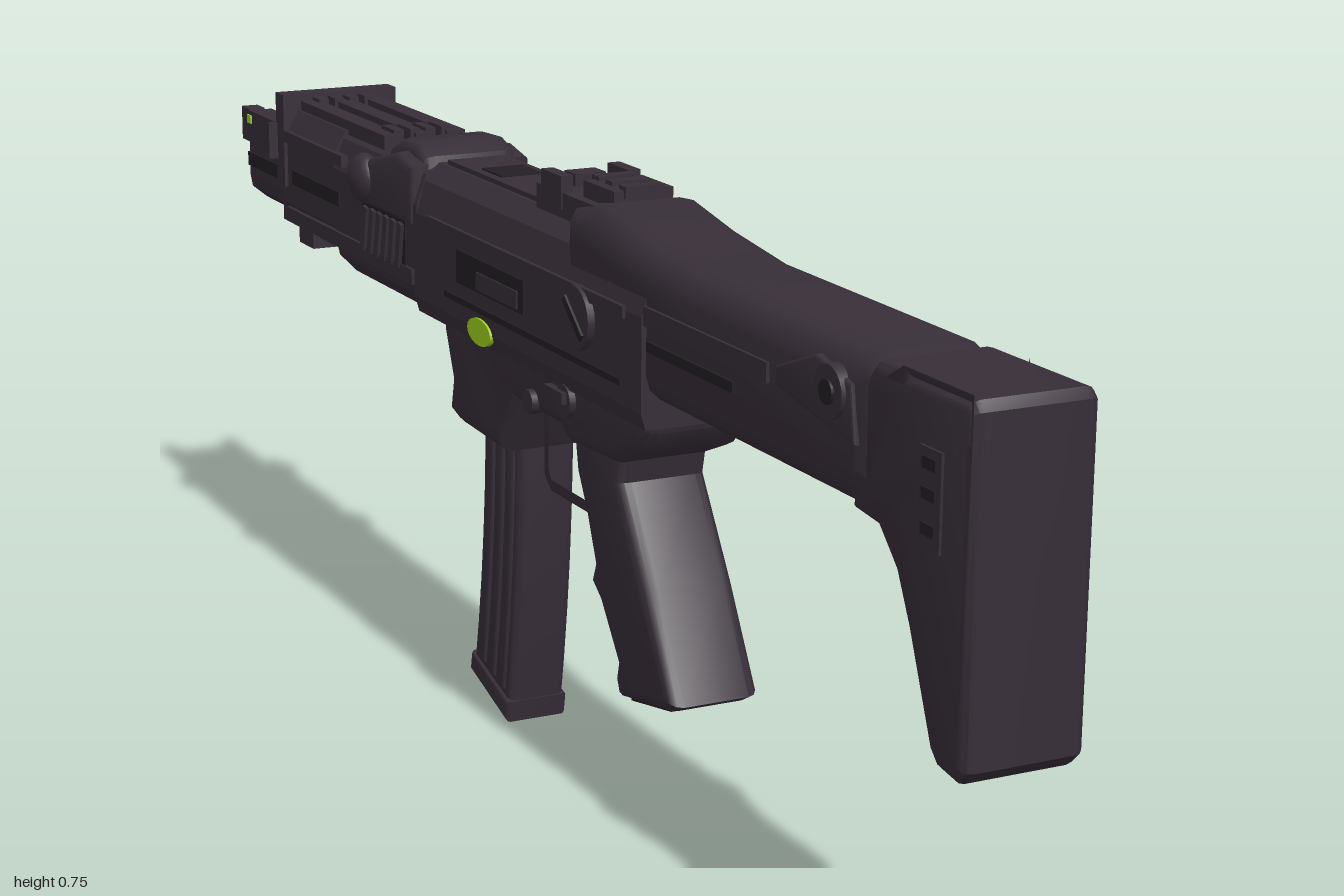
import * as THREE from 'three';
import { toCreasedNormals } from 'three/addons/utils/BufferGeometryUtils.js';

export function createModel() {
  const model = new THREE.Group();
  const mat = (name, color) => Object.assign(new THREE.MeshStandardMaterial({ color }), { name });
  const body = mat('charcoal plum', 0x372e38);
  const dark = mat('recess black', 0x241e25);
  const lime = mat('lime', 0x9ccc1e);

  const add = (name, geometry, material = body) => {
    const mesh = new THREE.Mesh(geometry, material);
    mesh.name = name;
    model.add(mesh);
    return mesh;
  };
  // Side profile in [z, y], extruded across x to a total width.
  const slab = (name, pts, width, bevel = 0.01, material = body, holes = []) => {
    const shape = new THREE.Shape(pts.map(p => new THREE.Vector2(...p)));
    for (const h of holes) shape.holes.push(new THREE.Path(h.map(p => new THREE.Vector2(...p))));
    const depth = width - 2 * bevel;
    const g = new THREE.ExtrudeGeometry(shape, {
      depth, bevelEnabled: bevel > 0, bevelThickness: bevel, bevelSize: bevel, bevelOffset: -bevel, bevelSegments: 3,
    });
    g.translate(0, 0, -depth / 2).rotateY(-Math.PI / 2);
    return add(name, toCreasedNormals(g, 0.6), material);
  };
  // Half cross-section in [x, y], mirrored and run from z0 to z1.
  const bar = (name, half, z0, z1, material = body) => {
    const all = [...half, ...half.slice().reverse().map(([x, y]) => [-x, y])];
    const g = new THREE.ExtrudeGeometry(new THREE.Shape(all.map(p => new THREE.Vector2(...p))),
      { depth: z1 - z0, bevelEnabled: false });
    return add(name, g.translate(0, 0, z0), material);
  };
  const box = (name, w, h, d, x, y, z, material = body) => {
    const m = add(name, new THREE.BoxGeometry(w, h, d), material);
    m.position.set(x, y, z);
    return m;
  };
  const disc = (name, r, t, x, y, z, material = body) => {
    const m = add(name, new THREE.CylinderGeometry(r, r, t, 20).rotateZ(Math.PI / 2), material);
    m.position.set(x, y, z);
    return m;
  };

  // Stock: butt with a strap slot, then the cheek rest
  slab('butt', [[1, 0.68], [0.99, 0.69], [0.82, 0.69], [0.79, 0.66], [0.78, 0.53], [0.83, 0.525], [0.865, 0.49],
    [0.89, 0.44], [0.935, 0.33], [0.95, 0.315], [0.985, 0.31], [1, 0.325]], 0.14, 0.012, body,
  [[[0.985, 0.658], [0.885, 0.658], [0.885, 0.685], [0.985, 0.685]]]);
  slab('cheekRest', [[0.83, 0.685], [0.8, 0.695], [0.42, 0.698], [0.3, 0.712], [0.2, 0.73], [0.12, 0.715],
    [0.1, 0.53], [0.8, 0.53], [0.83, 0.56]], 0.148, 0.035);

  // Receiver with chamfered upper corners
  bar('upperReceiver', [[0.074, 0.5], [0.08, 0.52], [0.08, 0.63], [0.068, 0.672], [0.045, 0.692]], -0.31, 0.34);
  slab('lowerReceiver', [[0.335, 0.56], [0.325, 0.49], [0.3, 0.46], [0.24, 0.435], [0.12, 0.43], [0.1, 0.445],
    [-0.03, 0.445], [-0.06, 0.39], [-0.07, 0.37], [-0.2, 0.375], [-0.235, 0.385], [-0.225, 0.43], [-0.25, 0.49],
    [-0.25, 0.56]], 0.138, 0.018);

  // Grip, closed by a dark base
  slab('grip', [[0.25, 0.46], [0.24, 0.41], [0.31, 0.3], [0.378, 0.18], [0.36, 0.17], [0.235, 0.147], [0.225, 0.17],
    [0.23, 0.19], [0.185, 0.25], [0.158, 0.27], [0.168, 0.295], [0.145, 0.35], [0.12, 0.395], [0.11, 0.45]], 0.115, 0.016);
  slab('gripBase', [[0.352, 0.174], [0.25, 0.155], [0.25, 0.147], [0.352, 0.167]], 0.09, 0, dark);

  // Trigger guard and trigger
  slab('triggerGuard', [[0.125, 0.45], [0.118, 0.34], [0.105, 0.328], [-0.02, 0.328], [-0.04, 0.345], [-0.04, 0.45]],
    0.046, 0.003, body, [[[0.108, 0.45], [0.105, 0.35], [0.097, 0.34], [-0.018, 0.34], [-0.028, 0.352], [-0.028, 0.45]]]);
  slab('trigger', [[0.085, 0.45], [0.075, 0.4], [0.085, 0.36], [0.07, 0.36], [0.053, 0.4], [0.05, 0.45]], 0.022, 0.003);

  // Curved magazine with raised ribs on each side
  const sweep = (t, u) => {
    const y = 0.42 - 0.4 * t, lean = -0.005 - 0.04 * t * t;
    return [-0.07 + lean - u * 0.115, y + (u - 0.5) * 0.035 * t];
  };
  const strip = (u0, u1, t0, t1) => {
    const pts = [];
    for (let i = 0; i <= 6; i++) pts.push(sweep(t0 + (t1 - t0) * i / 6, u0));
    for (let i = 6; i >= 0; i--) pts.push(sweep(t0 + (t1 - t0) * i / 6, u1));
    return pts;
  };
  slab('magazine', strip(0, 1, 0, 1.0), 0.076, 0.01);
  for (const u of [0.14, 0.4, 0.66]) slab('magazineRib', strip(u, u + 0.16, 0.1, 0.93), 0.084, 0.003);
  slab('magazineBase', strip(-0.01, 1.01, 0.95, 1.02), 0.084, 0.006);

  // Handguard: shell, top hump, clamps and long rail strips
  bar('handguard', [[0.05, 0.495], [0.074, 0.52], [0.08, 0.55], [0.08, 0.64], [0.066, 0.68], [0.04, 0.692]], -0.59, -0.3);
  bar('handguardFront', [[0.045, 0.52], [0.072, 0.535], [0.08, 0.56], [0.08, 0.66], [0.062, 0.69]], -0.79, -0.59);
  slab('topHump', [[-0.3, 0.66], [-0.31, 0.7], [-0.34, 0.714], [-0.39, 0.712], [-0.43, 0.695], [-0.45, 0.66]], 0.13, 0.015);
  slab('sideShoulder', [[-0.31, 0.69], [-0.36, 0.7], [-0.44, 0.68], [-0.52, 0.66], [-0.52, 0.61], [-0.31, 0.61]], 0.168, 0.01);
  box('frontBlock', 0.17, 0.13, 0.03, 0, 0.648, -0.785);
  box('frontCollar', 0.15, 0.15, 0.03, 0, 0.605, -0.79);
  box('underRail', 0.09, 0.025, 0.27, 0, 0.505, -0.44);
  box('underFoot', 0.06, 0.035, 0.23, 0, 0.52, -0.7);
  box('frontFoot', 0.08, 0.042, 0.055, 0, 0.508, -0.81);
  for (const x of [-0.045, 0, 0.045]) box('topRailStrip', 0.026, 0.02, 0.32, x, 0.693, -0.62);
  for (const z of [-0.49, -0.765]) {
    for (const x of [-0.034, -0.011, 0.011, 0.034]) box('railClampTooth', 0.014, 0.016, 0.045, x, 0.7, z);
  }

  // Muzzle block: chamfered body, open top channel and dark bore
  bar('muzzleBlock', [[0.04, 0.53], [0.062, 0.548], [0.065, 0.565], [0.065, 0.66], [0.03, 0.66], [0.03, 0.64]], -0.97, -0.79);
  bar('muzzleNose', [[0.03, 0.535], [0.05, 0.55], [0.05, 0.63]], -0.99, -0.97);
  box('muzzleSight', 0.024, 0.055, 0.07, 0, 0.66, -0.835);
  for (const s of [-1, 1]) {
    box('muzzleProng', 0.024, 0.048, 0.03, s * 0.053, 0.638, -0.985);
    box('muzzleStep', 0.004, 0.02, 0.16, s * 0.066, 0.59, -0.89, dark);
    box('muzzleDot', 0.003, 0.012, 0.014, s * 0.066, 0.648, -0.965, lime);
  }
  const tip = add('muzzleRing', new THREE.TorusGeometry(0.026, 0.007, 8, 24));
  tip.position.set(0, 0.59, -0.991);
  const bore = add('bore', new THREE.CircleGeometry(0.024, 24).rotateY(Math.PI), dark);
  bore.position.set(0, 0.59, -0.992);

  // Folded rear sight and top plates
  box('sightBase', 0.1, 0.03, 0.2, 0, 0.705, 0.1);
  box('sightFrame', 0.076, 0.022, 0.08, 0, 0.729, 0.145);
  for (const z of [0.18, 0.145, 0.11]) box('sightTooth', 0.05, 0.014, 0.018, 0, 0.738, z);
  for (const s of [-1, 1]) box('sightEar', 0.016, 0.04, 0.055, s * 0.044, 0.72, 0.045);
  box('sightLeaf', 0.04, 0.03, 0.03, 0, 0.72, 0.03);
  box('topPlate', 0.08, 0.01, 0.28, 0, 0.693, -0.15);
  box('topPlateInset', 0.056, 0.008, 0.06, 0, 0.696, -0.18, dark);

  // Parts repeated on both sides
  for (const s of [-1, 1]) {
    // Stock trim and hinge
    disc('stockHinge', 0.028, 0.016, s * 0.076, 0.645, 0.755);
    disc('hingePin', 0.013, 0.004, s * 0.085, 0.645, 0.755, dark);
    slab('hingeArm', [[0.8, 0.6], [0.79, 0.66], [0.72, 0.675], [0.64, 0.645], [0.64, 0.625], [0.72, 0.61]], 0.012, 0.003)
      .position.x = s * 0.073;
    box('stockStrip', 0.01, 0.022, 0.28, s * 0.073, 0.632, 0.48);
    box('stockSlot', 0.004, 0.012, 0.2, s * 0.0775, 0.6, 0.45, dark);
    box('buttLatch', 0.006, 0.1, 0.04, s * 0.07, 0.58, 0.93);
    for (const y of [0.55, 0.585, 0.615]) box('buttLatchSlot', 0.004, 0.012, 0.024, s * 0.073, y, 0.93, dark);
    // Receiver dial, port and controls
    disc('receiverDial', 0.038, 0.016, s * 0.081, 0.598, 0.185);
    const slot = box('dialSlot', 0.004, 0.01, 0.06, s * 0.09, 0.598, 0.185, dark);
    slot.rotation.x = 0.7;
    box('receiverRidge', 0.008, 0.014, 0.56, s * 0.08, 0.628, 0.02);
    box('ejectionPort', 0.004, 0.042, 0.2, s * 0.08, 0.588, -0.07, dark);
    box('portBolt', 0.006, 0.022, 0.12, s * 0.081, 0.582, -0.045);
    box('receiverSeam', 0.004, 0.008, 0.5, s * 0.08, 0.545, 0.04, dark);
    disc('selector', 0.02, 0.014, s * 0.07, 0.485, 0.13);
    box('selectorLever', 0.01, 0.014, 0.05, s * 0.078, 0.49, 0.115);
    disc('magazineButton', 0.015, 0.014, s * 0.07, 0.46, 0.03);
    // Oval paint patch on the magazine well
    const patch = disc('limePatch', 1, 0.006, s * 0.08, 0.518, -0.1, lime);
    patch.scale.set(1, 0.017, 0.035);
    // Handguard grip fins and round boss
    box('finRecess', 0.004, 0.07, 0.15, s * 0.08, 0.58, -0.41, dark);
    for (let i = 0; i < 6; i++) {
      const fin = box('gripFin', 0.012, 0.06, 0.013, s * 0.081, 0.58, -0.35 - i * 0.024);
      fin.rotation.x = 0.2;
    }
    const boss = add('sideBoss', new THREE.SphereGeometry(0.034, 18, 12));
    boss.scale.x = 0.62;
    boss.position.set(s * 0.079, 0.645, -0.48);
    box('handguardSlot', 0.004, 0.02, 0.18, s * 0.08, 0.6, -0.66, dark);
    box('handguardRib', 0.01, 0.016, 0.22, s * 0.08, 0.655, -0.66);
    box('handguardLowerRib', 0.012, 0.02, 0.46, s * 0.078, 0.545, -0.54);
    box('strapLug', 0.016, 0.05, 0.01, s * 0.09, 0.645, -0.8);
  }
  return model;
}
